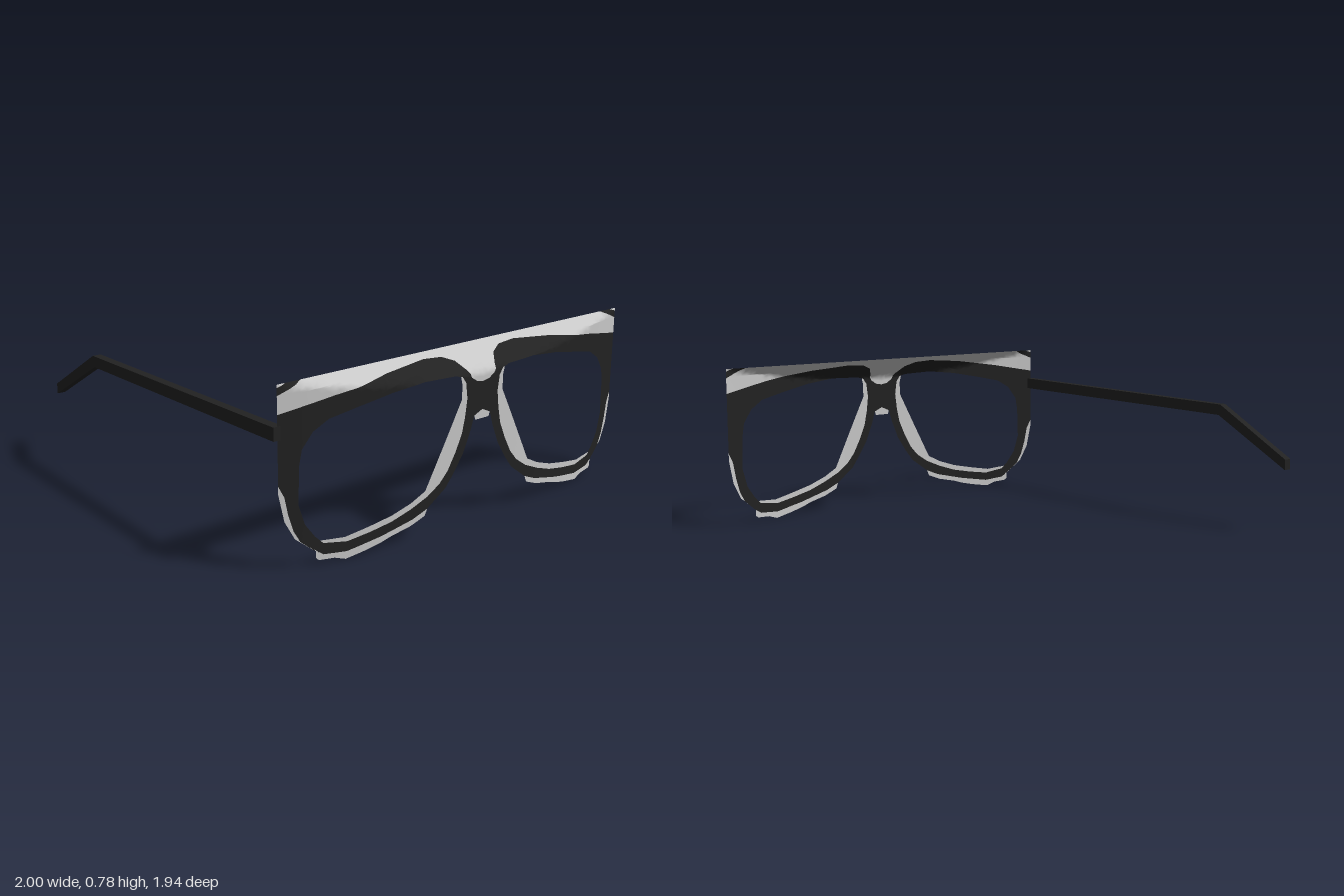
import * as THREE from 'three';
import { mergeVertices } from 'three/addons/utils/BufferGeometryUtils.js';

// Half outlines in hundredths of a unit, measured from the bridge centre line
const browTop = [[0, 63.4], [3.5, 64], [6.7, 66], [8.3, 69.3], [11.5, 73], [17, 75.1], [26.5, 75.7],
  [48, 74], [74.7, 70.3], [99, 66]];
const rimOuter = [[99, 37], [96.5, 32], [95, 24.3], [92.8, 17], [90, 12], [84.3, 7.2], [80, 4.5],
  [69.3, 3.5], [53.3, 6.2], [37.2, 10], [29.7, 13]];
const noseOuter = [[20, 20], [15.8, 25.4], [10.5, 33.4], [6.7, 42.5], [4.6, 49], [0, 51]];
const lensTop = [[15.8, 68.2], [32, 68.7], [48, 67], [64, 64], [77.3, 61.2], [84.3, 57], [89, 50.5],
  [90.2, 44], [90.7, 28], [88, 19], [83.7, 13]];
const lensLower = [[80, 9.4], [69.3, 7.8], [58.6, 9.4], [48, 11.5], [38.3, 14.7], [29.7, 18.4],
  [23.3, 22.7], [19, 27.5], [14.8, 35], [11.5, 42.5], [10, 49.5], [9, 57.5], [10, 64.4], [12, 67.2]];
const padEdge = [[13, 67.6], [12.1, 64], [12.1, 57.5], [31, 21.1], [38.3, 17.4], [48, 14.2],
  [58.6, 12], [70.4, 9.9], [81.5, 10.8]];
const lowerEdge = [[31, 10], [38.3, 7.2], [48, 5.1], [53, 3.5], [60, 1.9], [70, 0.2], [75, 1.9],
  [82, 2.4], [83.2, 3.5], [83.2, 6.5], [88, 10.5], [92.3, 13.6], [96.6, 21.7], [99, 33.4]];

const TOP = 0.78, EDGE_Z = 0.857, CENTRE_X = 0.01;

// Wrapped front, with the brow folding back to a straight top edge
function surfaceZ(x, y) {
  const wrap = 0.97 - 0.113 * (x / 0.99) ** 2;
  return Math.min(wrap, EDGE_Z + (TOP - y) * 1.1);
}

// Split a triangle at its longest edge until it is small enough to bend
function split(a, b, c, out) {
  const ab = a.distanceTo(b), bc = b.distanceTo(c), ca = c.distanceTo(a);
  const longest = Math.max(ab, bc, ca);
  if (longest < 0.035) {
    out.push(a, b, c);
  } else if (longest === ab) {
    const m = a.clone().add(b).multiplyScalar(0.5);
    split(a, m, c, out); split(m, b, c, out);
  } else if (longest === bc) {
    const m = b.clone().add(c).multiplyScalar(0.5);
    split(a, b, m, out); split(a, m, c, out);
  } else {
    const m = c.clone().add(a).multiplyScalar(0.5);
    split(a, b, m, out); split(m, b, c, out);
  }
}

// Flat outline on one side, bent onto the wrapped surface
function sheet(name, outline, material, side, hole) {
  const toPoints = (list) => list.map(([x, y]) => new THREE.Vector2(side * x / 100, y / 100));
  const shape = new THREE.Shape(toPoints(outline));
  if (hole) shape.holes.push(new THREE.Path(toPoints(hole)));
  const flat = new THREE.ShapeGeometry(shape).toNonIndexed().getAttribute('position');
  const corner = (i) => new THREE.Vector3().fromBufferAttribute(flat, i);
  const points = [];
  for (let i = 0; i < flat.count; i += 3) split(corner(i), corner(i + 1), corner(i + 2), points);
  for (const p of points) p.z = surfaceZ(p.x, p.y);
  const bent = mergeVertices(new THREE.BufferGeometry().setFromPoints(points));
  bent.computeVertexNormals();
  const mesh = new THREE.Mesh(bent, material);
  mesh.name = name;
  mesh.position.x = CENTRE_X;
  return mesh;
}

export function createModel() {
  const black = new THREE.MeshStandardMaterial({ color: 0x222222, side: THREE.DoubleSide });
  black.name = 'black frame';
  const grey = new THREE.MeshStandardMaterial({ color: 0xcacaca, side: THREE.DoubleSide });
  grey.name = 'pale grey border';
  const model = new THREE.Group();
  model.name = 'glasses';

  for (const [label, side] of [['left', 1], ['right', -1]]) {
    const half = new THREE.Group();
    half.name = label + 'FrontHalf';
    half.add(
      sheet('rim', [...browTop, ...rimOuter, ...noseOuter], black, side, [...lensTop, ...lensLower]),
      // Pale band above the brow, with a dark wedge near the corner
      sheet('browBand', [...browTop, [99, 73.5], [88, 78], [0, 78]], grey, side),
      sheet('cornerWedge', [[88, 78], [99, 73.5], [99, 76.7], [95, 78]], black, side),
      sheet('cornerTip', [[95, 78], [99, 76.7], [99, 78]], grey, side),
      // Pale borders inside and outside the rim
      sheet('nosePad', [...lensLower, ...padEdge], grey, side),
      sheet('lowerBorder', [...rimOuter, ...lowerEdge], grey, side),
      sheet('bridgeBorder', [[0, 51], [4.6, 49], [4, 47], [0, 47]], grey, side),
    );
    model.add(half);
  }

  // Single bent temple arm, profile given as z, y
  const profile = [[0.86, 0.615], [0.86, 0.558], [-0.56, 0.532], [-0.97, 0.304], [-0.97, 0.355], [-0.57, 0.585]];
  const arm = new THREE.ExtrudeGeometry(
    new THREE.Shape(profile.map(([z, y]) => new THREE.Vector2(z, y))),
    { depth: 0.04, bevelEnabled: false });
  arm.rotateY(-Math.PI / 2).translate(-0.96, 0, 0);
  const temple = new THREE.Mesh(arm, black);
  temple.name = 'rightTemple';
  model.add(temple);

  return model;
}
